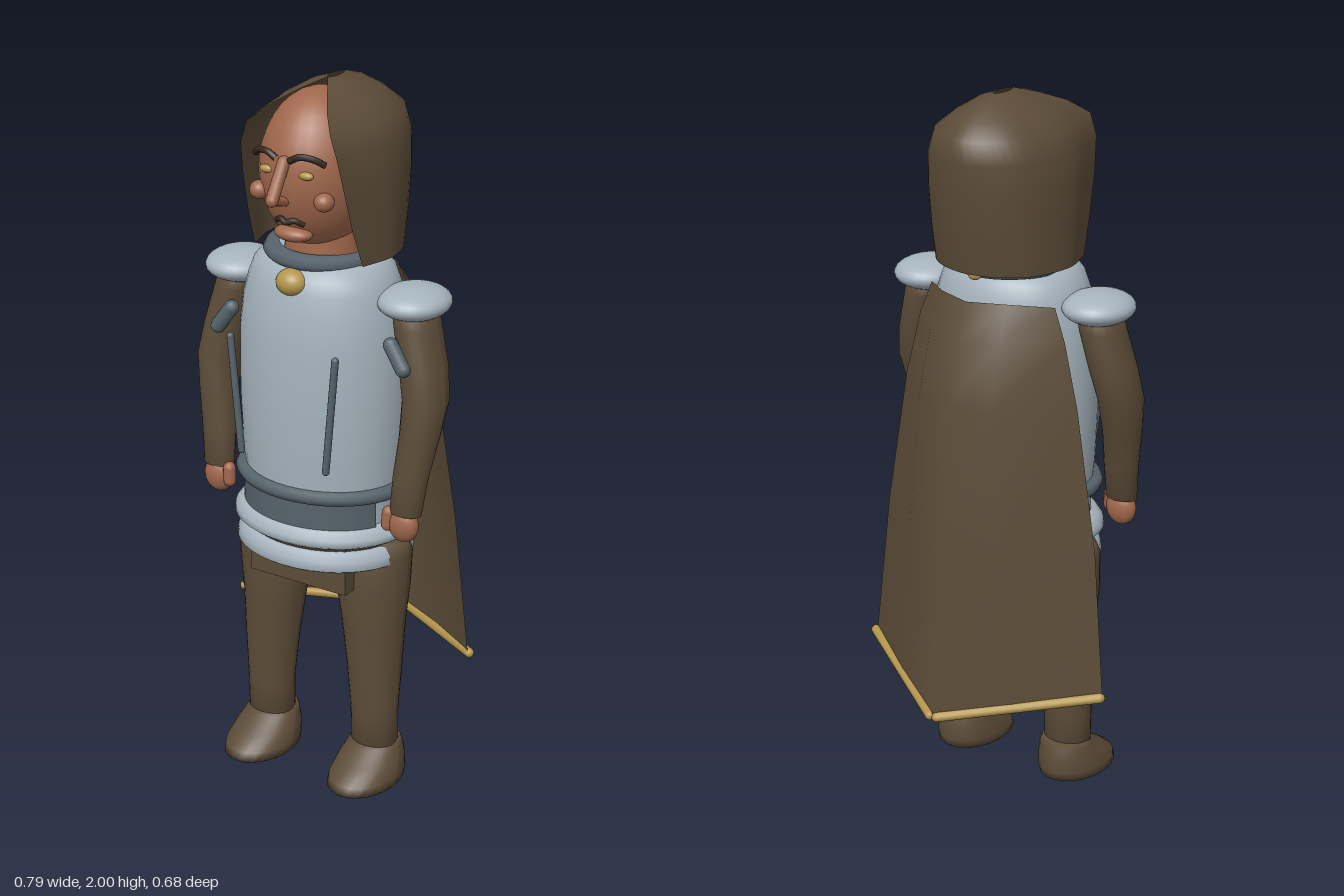
import * as THREE from 'three';

const mat = (name, color, side = THREE.FrontSide) => {
  const m = new THREE.MeshStandardMaterial({ color, side });
  m.name = name;
  return m;
};

export function createModel() {
  const cloth = mat('brown cloth', 0x5c4c38, THREE.DoubleSide);
  const steel = mat('light steel', 0xa6b4bd, THREE.DoubleSide);
  const darkSteel = mat('dark steel', 0x56636b);
  const skin = mat('skin', 0xa0674c);
  const gold = mat('gold', 0xb3954c);
  const hair = mat('dark hair', 0x35291f);
  const model = new THREE.Group();
  const V = (x, y, z) => new THREE.Vector3(x, y, z);

  const add = (name, geo, material, pos = [0, 0, 0], scale = [1, 1, 1]) => {
    const m = new THREE.Mesh(geo, material);
    m.name = name;
    m.position.set(...pos);
    m.scale.set(...scale);
    model.add(m);
    return m;
  };
  const ball = (name, material, pos, radii) =>
    add(name, new THREE.SphereGeometry(1, 28, 18), material, pos, radii);

  // Surface through rows of points
  const loft = (rows) => {
    const n = rows[0].length, index = [];
    for (let r = 0; r < rows.length - 1; r++)
      for (let i = 0; i < n - 1; i++) {
        const a = r * n + i, b = a + n;
        index.push(a, b, a + 1, a + 1, b, b + 1);
      }
    const g = new THREE.BufferGeometry().setFromPoints(rows.flat());
    g.setIndex(index);
    g.computeVertexNormals();
    return g;
  };
  // Elliptical rings [x, y, z, rx, rz], closed at both ends
  const limb = (rings) => {
    const closed = [[...rings[0].slice(0, 3), 0, 0], ...rings, [...rings.at(-1).slice(0, 3), 0, 0]];
    return loft(closed.map(([x, y, z, rx, rz]) =>
      Array.from({ length: 25 }, (_, i) => {
        const a = (i / 24) * Math.PI * 2;
        return V(x + rx * Math.cos(a), y, z + rz * Math.sin(a));
      })));
  };
  // Rod between two points
  const rod = (name, material, a, b, r) => {
    const d = b.clone().sub(a);
    const m = add(name, new THREE.CapsuleGeometry(r, Math.max(d.length() - 2 * r, 0.001), 4, 12), material);
    m.position.copy(a).add(b).multiplyScalar(0.5);
    m.quaternion.setFromUnitVectors(V(0, 1, 0), d.normalize());
    return m;
  };
  // Lathe squeezed front to back around the body axis
  const bodyLathe = (name, material, pts, depth = 0.83, z = 0.08) =>
    add(name, new THREE.LatheGeometry(pts.map(p => new THREE.Vector2(...p)), 40), material,
      [0, 0, z], [1, 1, depth]);

  // Breastplate and skirt armour
  bodyLathe('breastplate', steel, [[0.225, 0.8], [0.226, 0.88], [0.235, 0.95], [0.242, 1.1], [0.243, 1.2],
    [0.24, 1.32], [0.23, 1.4], [0.215, 1.46], [0.2, 1.5], [0.17, 1.535], [0.1, 1.545]]);
  bodyLathe('belt', darkSteel, [[0.22, 0.875], [0.252, 0.88], [0.259, 0.895], [0.252, 0.91], [0.22, 0.915]]);
  add('frontFauld', new THREE.CylinderGeometry(0.236, 0.236, 0.085, 24, 1, true, -1.15, 2.3), darkSteel,
    [0, 0.84, 0.08], [1, 1, 0.83]);
  bodyLathe('upperSkirtBand', steel, [[0.215, 0.755], [0.25, 0.75], [0.264, 0.76], [0.262, 0.778],
    [0.247, 0.798], [0.22, 0.805]]);
  bodyLathe('lowerSkirtBand', steel, [[0.215, 0.68], [0.245, 0.677], [0.258, 0.685], [0.254, 0.71],
    [0.24, 0.732], [0.21, 0.735]]);
  bodyLathe('hips', cloth, [[0.001, 0.69], [0.225, 0.69], [0.225, 0.82]]);
  add('loinCloth', new THREE.BoxGeometry(0.31, 0.2, 0.26), cloth, [0, 0.7, 0.09]);

  // Collar, brooch and neck
  bodyLathe('collar', darkSteel, [[0.13, 1.52], [0.165, 1.522], [0.174, 1.538], [0.165, 1.555], [0.13, 1.557]], 1.03, 0.06);
  ball('brooch', gold, [0, 1.488, 0.235], [0.046, 0.037, 0.04]);
  ball('backClasp', gold, [0, 1.53, -0.115], [0.02, 0.015, 0.014]);
  add('neck', new THREE.CylinderGeometry(0.1, 0.11, 0.14, 24), skin, [0, 1.57, 0.08]);

  // Head and face
  ball('head', skin, [0, 1.77, 0.1], [0.155, 0.215, 0.175]);
  rod('nose', skin, V(0, 1.84, 0.262), V(0, 1.722, 0.335), 0.017);
  rod('noseBase', skin, V(0, 1.735, 0.32), V(0, 1.715, 0.255), 0.013);
  ball('lips', skin, [0, 1.622, 0.228], [0.056, 0.022, 0.036]);
  add('moustache', new THREE.TubeGeometry(new THREE.CatmullRomCurve3(
    [V(-0.042, 1.655, 0.24), V(-0.02, 1.666, 0.256), V(0, 1.66, 0.262), V(0.02, 1.666, 0.256), V(0.042, 1.655, 0.24)]),
    16, 0.008, 8), hair);

  // Hood: open arcs from one front edge round the back to the other
  const hoodRows = [ // y, edge x, edge z, half width, back z
    [1.54, 0.17, 0.16, 0.195, -0.15], [1.65, 0.163, 0.2, 0.2, -0.172], [1.76, 0.157, 0.23, 0.202, -0.187],
    [1.85, 0.148, 0.25, 0.196, -0.195], [1.91, 0.128, 0.25, 0.172, -0.19], [1.95, 0.085, 0.198, 0.122, -0.14],
    [1.98, 0.04, 0.128, 0.07, -0.085], [2.0, 0.001, 0.065, 0.012, -0.02],
  ].map(([y, ex, ez, s, back]) => {
    const cz = 0.04, q = Math.SQRT1_2;
    const half = [[ex, ez], [s, cz], [s * q, cz + (back - cz) * q]];
    const pts = [...half, [0, back], ...half.map(([x, z]) => [-x, z]).reverse()];
    return new THREE.CatmullRomCurve3(pts.map(([x, z]) => V(x, y, z))).getPoints(36);
  });
  add('hood', loft(hoodRows), cloth);

  // Cape: half outlines from edge to centre fold, mirrored
  const capeRows = [
    [[0.2, 1.45, -0.03], [0.105, 1.465, -0.115], [0, 1.465, -0.155]],
    [[0.235, 1.36, -0.035], [0.11, 1.37, -0.165], [0, 1.37, -0.19]],
    [[0.28, 1.18, -0.04], [0.115, 1.19, -0.215], [0, 1.2, -0.25]],
    [[0.345, 0.78, -0.045], [0.135, 0.77, -0.24], [0, 0.76, -0.288]],
    [[0.385, 0.36, -0.06], [0.19, 0.33, -0.205], [0, 0.3, -0.33]],
  ].map(half => [...half.map(p => V(...p)), ...half.slice(0, 2).reverse().map(([x, y, z]) => V(-x, y, z))]);
  add('cape', loft(capeRows), cloth);

  for (const s of [1, -1]) {
    // Cape hem
    rod('capeHem', gold, V(s * 0.395, 0.36, -0.062), V(0, 0.3, -0.333), 0.014);

    // Eyes, brows and cheeks
    ball('eye', gold, [s * 0.06, 1.795, 0.258], [0.022, 0.011, 0.012]);
    add('eyebrow', new THREE.TubeGeometry(new THREE.CatmullRomCurve3(
      [V(s * 0.02, 1.833, 0.275), V(s * 0.05, 1.847, 0.272), V(s * 0.085, 1.842, 0.258), V(s * 0.108, 1.826, 0.24)]),
      14, 0.009, 8), hair);
    ball('cheek', skin, [s * 0.1, 1.725, 0.235], [0.027, 0.025, 0.027]);

    // Breastplate ribs
    rod('breastplateRib', darkSteel, V(s * 0.167, 1.328, 0.286), V(s * 0.135, 0.983, 0.286), 0.01);

    // Shoulder, arm and hand
    ball('pauldron', steel, [s * 0.275, 1.44, 0.07], [0.098, 0.045, 0.107]);
    add('arm', limb([[s * 0.272, 1.45, 0.07, 0.06, 0.065], [s * 0.287, 1.38, 0.073, 0.062, 0.072],
      [s * 0.314, 1.27, 0.085, 0.064, 0.073], [s * 0.331, 1.18, 0.1, 0.061, 0.07],
      [s * 0.325, 1.08, 0.12, 0.055, 0.055], [s * 0.312, 0.97, 0.14, 0.05, 0.043],
      [s * 0.305, 0.865, 0.155, 0.047, 0.032]]), cloth);
    rod('armStrap', darkSteel, V(s * 0.242, 1.355, 0.152), V(s * 0.308, 1.262, 0.162), 0.021);
    ball('hand', skin, [s * 0.302, 0.832, 0.16], [0.045, 0.05, 0.03]);
    rod('thumb', skin, V(s * 0.262, 0.88, 0.168), V(s * 0.258, 0.808, 0.172), 0.018);

    // Leg and boot
    add('leg', limb([[s * 0.175, 0.08, 0.095, 0.07, 0.058], [s * 0.175, 0.2, 0.097, 0.07, 0.06],
      [s * 0.172, 0.34, 0.093, 0.08, 0.072], [s * 0.165, 0.48, 0.088, 0.093, 0.082],
      [s * 0.16, 0.6, 0.085, 0.11, 0.092], [s * 0.163, 0.7, 0.08, 0.11, 0.09],
      [s * 0.163, 0.735, 0.08, 0.1, 0.07]]), cloth);
    add('boot', limb([[s * 0.177, 0, 0.145, 0.098, 0.135], [s * 0.177, 0.025, 0.138, 0.098, 0.132],
      [s * 0.176, 0.06, 0.113, 0.09, 0.105], [s * 0.175, 0.095, 0.088, 0.076, 0.072],
      [s * 0.175, 0.11, 0.085, 0.07, 0.062]]), cloth);
  }
  return model;
}
